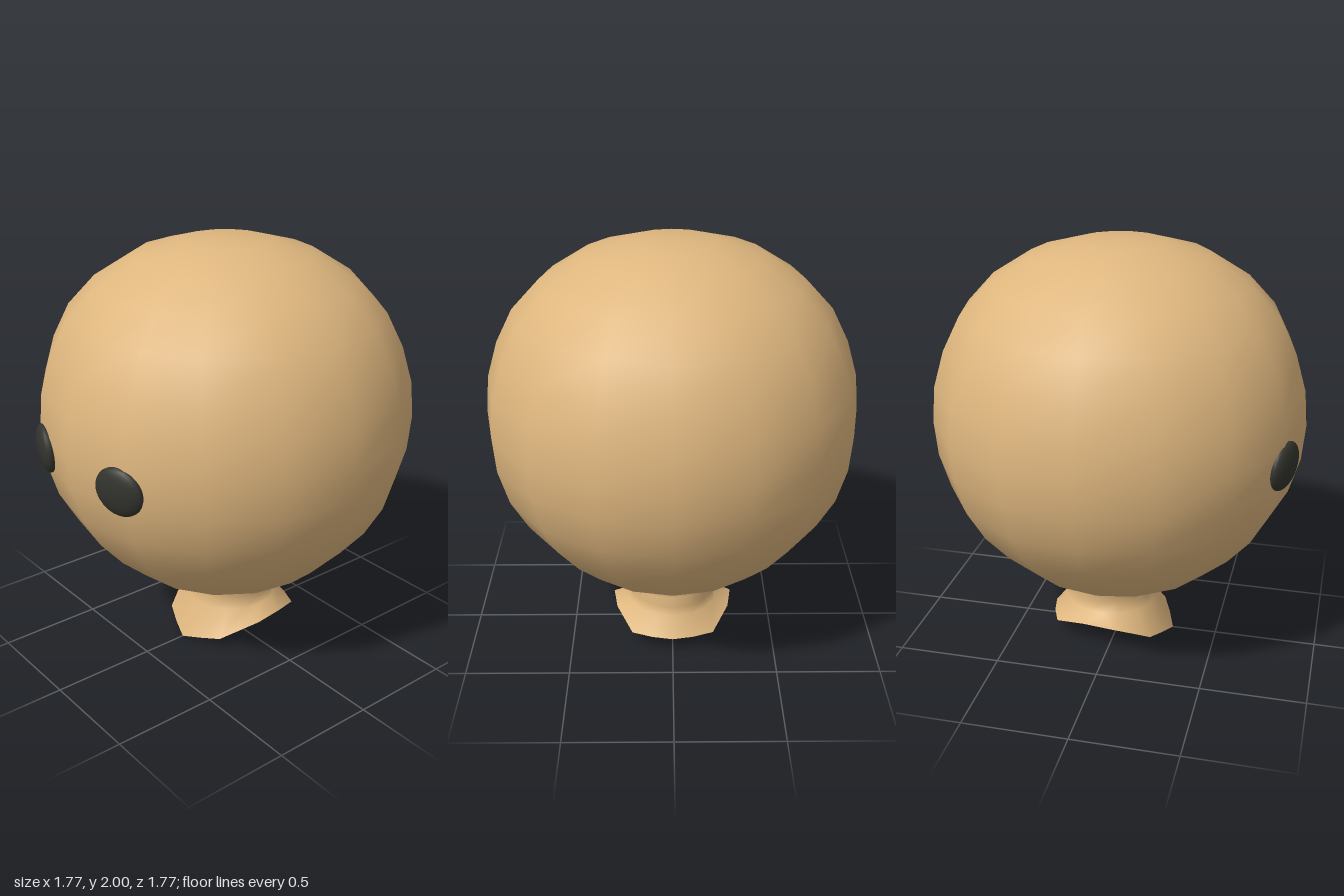
import * as THREE from 'three';

const SEG = 16;

// Smooth closed loft through rings of SEG points, listed from top to bottom
function loft(rings, topY) {
  const pos = rings.flat(2), idx = [];
  for (let i = 0; i < rings.length - 1; i++) {
    for (let j = 0; j < SEG; j++) {
      const k = (j + 1) % SEG;
      const a = i * SEG + j, b = a + SEG, c = i * SEG + k, d = c + SEG;
      idx.push(a, b, c, c, b, d);
    }
  }
  // close the crown with a fan
  const pole = pos.length / 3;
  pos.push(0, topY, 0);
  for (let j = 0; j < SEG; j++) idx.push(pole, j, (j + 1) % SEG);
  const g = new THREE.BufferGeometry();
  g.setAttribute('position', new THREE.Float32BufferAttribute(pos, 3));
  g.setIndex(idx);
  g.computeVertexNormals();
  return g;
}

function ring(y, rx, rz, cz = 0) {
  return Array.from({ length: SEG }, (_, j) => {
    const a = (j / SEG) * Math.PI * 2;
    return [Math.sin(a) * rx, y, cz + Math.cos(a) * rz];
  });
}

export function createModel() {
  const tan = new THREE.MeshStandardMaterial({ color: 0xdeb67e, side: THREE.DoubleSide });
  tan.name = 'tan skin';
  const black = new THREE.MeshStandardMaterial({ color: 0x33332e });
  black.name = 'eye black';

  const group = new THREE.Group();
  group.name = 'roundHead';

  // Head profile [radius, y], slightly flattened at the crown
  const profile = [
    [0.21, 1.99], [0.42, 1.93], [0.61, 1.81], [0.74, 1.67], [0.82, 1.51],
    [0.87, 1.34], [0.885, 1.17], [0.87, 1.0], [0.82, 0.83], [0.735, 0.68],
    [0.62, 0.545], [0.49, 0.43], [0.365, 0.355],
  ];
  const rings = profile.map(([r, y]) => ring(y, r, r));

  // Neck, set slightly back
  rings.push(ring(0.31, 0.23, 0.225, -0.03));
  rings.push(ring(0.27, 0.213, 0.22, -0.04));
  rings.push(ring(0.22, 0.213, 0.225, -0.045));
  rings.push(ring(0.17, 0.222, 0.23, -0.04));

  // Flared open hem: half outline from the front point to the back, then mirrored
  const half = [
    [0, 0, 0.28], [0.1, 0.025, 0.245], [0.2, 0.05, 0.2], [0.25, 0.09, 0.12], [0.3, 0.13, 0.03],
    [0.28, 0.13, -0.12], [0.2, 0.08, -0.28], [0.1, 0.08, -0.32], [0, 0.08, -0.34],
  ];
  rings.push([...half, ...half.slice(1, -1).reverse().map(([x, y, z]) => [-x, y, z])]);

  const head = new THREE.Mesh(loft(rings, 2.0), tan);
  head.name = 'headAndNeck';
  group.add(head);

  // Flattened eyes lying on the surface of the head
  for (const s of [1, -1]) {
    const eye = new THREE.Mesh(new THREE.SphereGeometry(1, 20, 14), black);
    eye.name = s > 0 ? 'leftEye' : 'rightEye';
    eye.scale.set(0.121, 0.116, 0.042);
    eye.position.set(s * 0.298, 1.09, 0.815);
    eye.quaternion.setFromUnitVectors(
      new THREE.Vector3(0, 0, 1),
      new THREE.Vector3(s * 0.298, -0.08, 0.815).normalize(),
    );
    group.add(eye);
  }
  return group;
}
